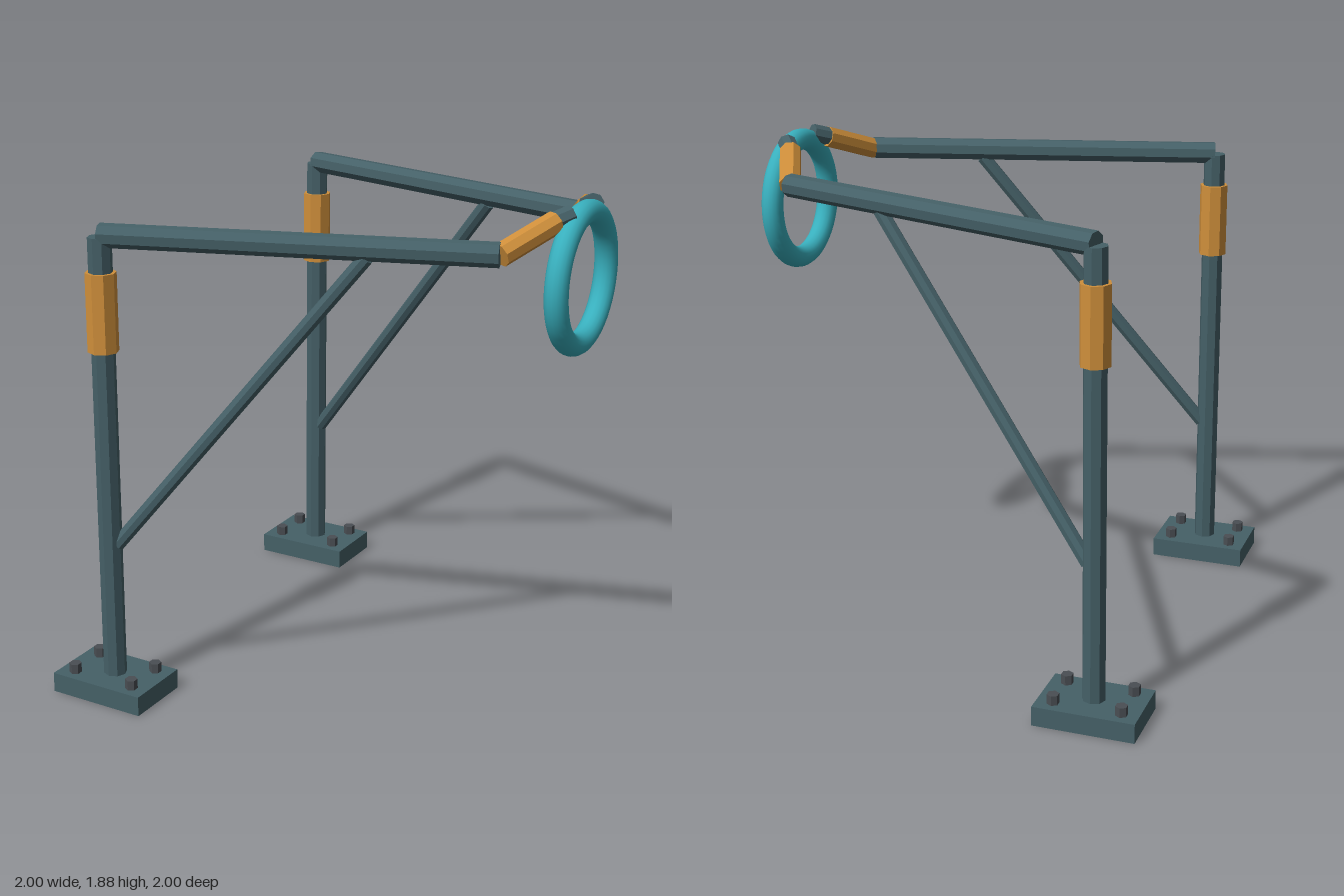
import * as THREE from 'three';

const flat = (name, color) => {
  const m = new THREE.MeshStandardMaterial({ color, flatShading: true });
  m.name = name;
  return m;
};

export function createModel() {
  const model = new THREE.Group();
  model.name = 'ringGate';

  const steel = flat('steel', 0x456067);
  const orange = flat('orange', 0xcf8f3b);
  const boltGrey = flat('boltGrey', 0x4a4e53);
  const teal = new THREE.MeshStandardMaterial({ color: 0x38afbd });
  teal.name = 'teal';

  const add = (parent, name, geometry, material) => {
    const mesh = new THREE.Mesh(geometry, material);
    mesh.name = name;
    parent.add(mesh);
    return mesh;
  };

  // Octagonal bar between two points
  const up = new THREE.Vector3(0, 1, 0);
  const bar = (parent, name, a, b, radius, material) => {
    const dir = b.clone().sub(a);
    const mesh = add(parent, name, new THREE.CylinderGeometry(radius, radius, dir.length(), 8), material);
    mesh.position.copy(a).add(b).multiplyScalar(0.5);
    mesh.quaternion.setFromUnitVectors(up, dir.normalize());
  };

  // The two arms mirror each other across the plane x = z
  for (const side of ['right', 'left']) {
    const arm = new THREE.Group();
    arm.name = side + 'Arm';
    model.add(arm);
    const p = (x, y, z) => (side === 'right' ? new THREE.Vector3(x, y, z) : new THREE.Vector3(z, y, x));

    // Base plate with four hexagonal bolts
    const base = new THREE.Group();
    base.name = 'base';
    base.position.copy(p(-0.775, 0, 0.295));
    base.rotation.y = -Math.PI / 4;
    arm.add(base);
    add(base, 'basePlate', new THREE.BoxGeometry(0.382, 0.075, 0.255), steel).position.y = 0.0375;
    for (const sx of [-1, 1]) {
      for (const sz of [-1, 1]) {
        add(base, 'bolt', new THREE.CylinderGeometry(0.023, 0.023, 0.05, 6), boltGrey)
          .position.set(sx * 0.127, 0.087, sz * 0.077);
      }
    }

    // Post, sleeve, beam and diagonal brace
    bar(arm, 'post', p(-0.775, 0.07, 0.295), p(-0.775, 1.735, 0.295), 0.043, steel);
    bar(arm, 'postSleeve', p(-0.775, 1.325, 0.295), p(-0.775, 1.61, 0.295), 0.056, orange);
    bar(arm, 'beam', p(-0.775, 1.74, 0.295), p(0.435, 1.75, 0.945), 0.043, steel);
    bar(arm, 'brace', p(-0.75, 0.595, 0.308), p(0.045, 1.715, 0.735), 0.027, steel);

    // Inclined end piece and the tip that grips the ring
    bar(arm, 'endSleeve', p(0.437, 1.748, 0.942), p(0.655, 1.828, 0.868), 0.041, orange);
    bar(arm, 'ringClamp', p(0.64, 1.825, 0.87), p(0.715, 1.848, 0.862), 0.036, steel);
  }

  // Hanging ring
  const ring = add(model, 'ring', new THREE.TorusGeometry(0.229, 0.041, 16, 48), teal);
  ring.position.set(0.795, 1.61, 0.795);
  ring.rotation.y = Math.PI / 4;

  return model;
}
